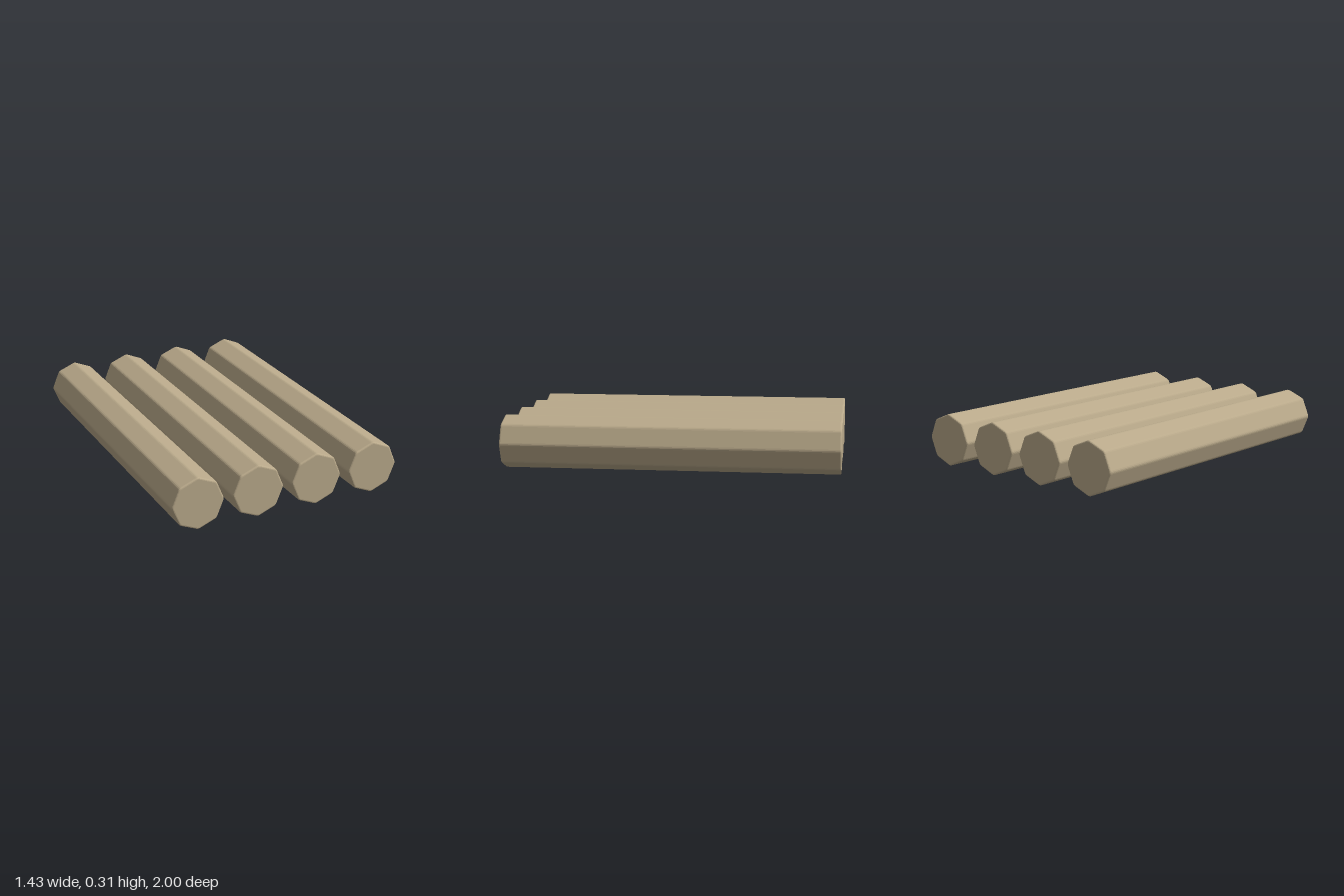
import * as THREE from 'three';

const RADIUS = 0.16, LENGTH = 2, BEVEL = 0.01, CUT = 0.012;

// Octagon standing on a corner, with slightly rounded corners
function octagon() {
  const corners = [];
  for (let i = 0; i < 8; i++) {
    const a = (i * Math.PI) / 4;
    corners.push(new THREE.Vector2(Math.cos(a) * RADIUS, Math.sin(a) * RADIUS));
  }
  const toward = (from, to) =>
    from.clone().add(to.clone().sub(from).setLength(CUT));
  const points = [];
  corners.forEach((c, i) => {
    const start = toward(c, corners[(i + 7) % 8]);
    const end = toward(c, corners[(i + 1) % 8]);
    points.push(...new THREE.QuadraticBezierCurve(start, c, end).getPoints(3));
  });
  return new THREE.Shape(points);
}

export function createModel() {
  const group = new THREE.Group();
  group.name = 'logs';
  const wood = new THREE.MeshStandardMaterial({ color: 0xb9a98a });
  wood.name = 'paleWood';

  // One log with bevelled ends, lying along z
  const geometry = new THREE.ExtrudeGeometry(octagon(), {
    depth: LENGTH - 2 * BEVEL,
    bevelEnabled: true,
    bevelThickness: BEVEL,
    bevelSize: BEVEL,
    bevelOffset: -BEVEL,
    bevelSegments: 3,
  });
  geometry.translate(0, 0, -LENGTH / 2 + BEVEL);

  // Four parallel logs in a row
  [-0.559, -0.187, 0.185, 0.557].forEach((x, i) => {
    const log = new THREE.Mesh(geometry, wood);
    log.name = `log${i + 1}`;
    log.position.set(x, 0.16, 0);
    group.add(log);
  });
  return group;
}
